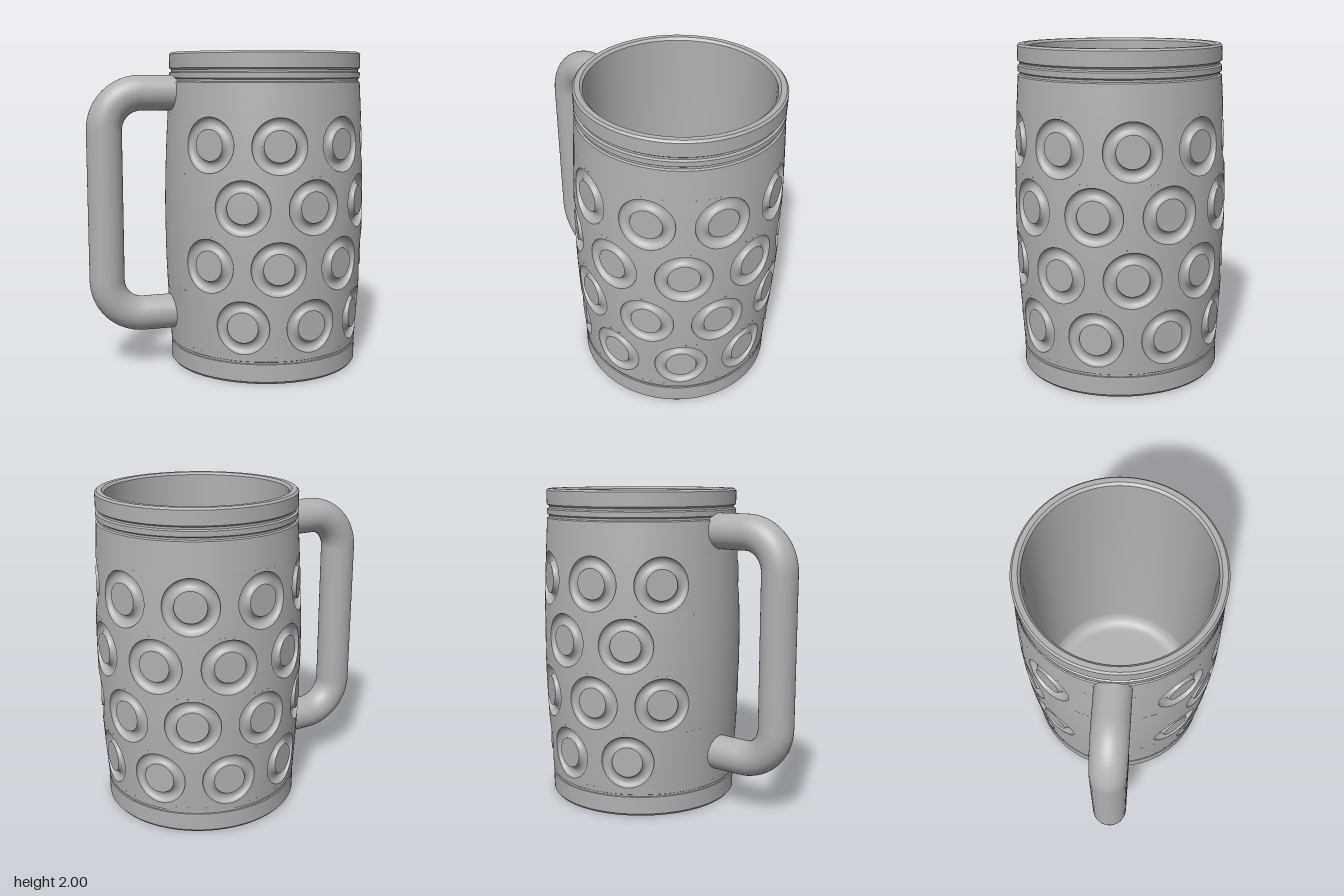
import * as THREE from 'three';
import { toCreasedNormals } from 'three/addons/utils/BufferGeometryUtils.js';

const CX = 0.25;                       // mug axis
const DISC = 0.095, OUTER = 0.167, DEPTH = 0.035;
const HALF = Math.PI / 9, CELL_H = 0.1825;
const SEG = 48;

// Barrel radius at a height
const barrel = (y) => 0.61 + 0.034 * Math.sin(Math.PI * (y - 0.14) / 1.68);

const lathe = (pts) => toCreasedNormals(
  new THREE.LatheGeometry(pts.map(([x, y]) => new THREE.Vector2(x, y)), 108), 0.5);

// Point on the barrel; u and v are offsets from the cell centre
function onBarrel(theta, y0, u, v) {
  const r = barrel(y0 + v), a = theta + u / 0.63;
  return new THREE.Vector3(r * Math.cos(a), y0 + v, -r * Math.sin(a));
}

// Point on the flat disc in the middle of a dimple
function onDisc(theta, y0, u, v) {
  const r = barrel(y0) - 0.006, c = Math.cos(theta), s = Math.sin(theta);
  return new THREE.Vector3(r * c - u * s, y0 + v, -r * s - u * c);
}

// One rectangular wall cell made of rings: disc, round groove, surrounding wall
function addCell(pos, idx, theta, y0, dimpled) {
  const base = pos.length / 3;
  const normal = new THREE.Vector3(Math.cos(theta), 0, -Math.sin(theta));
  const ring = (fn) => {
    for (let k = 0; k < SEG; k++) {
      const a = k / SEG * Math.PI * 2;
      pos.push(...fn(Math.cos(a), Math.sin(a)).toArray());
    }
  };
  const flat = dimpled ? onDisc : onBarrel;
  let rings = 0;
  for (const s of [0, DISC * 0.5]) {
    ring((c, n) => flat(theta, y0, c * s, n * s));
    rings++;
  }
  for (let i = 0; i <= 9; i++) {
    const a = i / 9 * Math.PI, t = (1 - Math.cos(a)) / 2;
    const s = DISC + (OUTER - DISC) * t;
    const d = dimpled ? DEPTH * Math.sin(a) : 0;
    ring((c, n) => flat(theta, y0, c * s, n * s)
      .lerp(onBarrel(theta, y0, c * s, n * s), t).addScaledVector(normal, -d));
    rings++;
  }
  for (const t of [0.5, 1]) {
    ring((c, n) => {
      const m = Math.max(Math.abs(c), Math.abs(n));
      const u = THREE.MathUtils.lerp(c * OUTER, c / m * HALF * 0.63, t);
      const v = THREE.MathUtils.lerp(n * OUTER, n / m * CELL_H, t);
      return onBarrel(theta, y0, u, v);
    });
    rings++;
  }
  for (let i = 0; i < rings - 1; i++) {
    for (let k = 0; k < SEG; k++) {
      const k2 = (k + 1) % SEG;
      const a = base + i * SEG + k, b = base + i * SEG + k2;
      const c = a + SEG, d = b + SEG;
      idx.push(a, c, d);
      if (i > 0) idx.push(a, d, b);
    }
  }
}

export function createModel() {
  const group = new THREE.Group();
  const grey = new THREE.MeshStandardMaterial({ color: 0xb0b0b0 });
  grey.name = 'grey';
  const add = (name, geometry, parent = group) => {
    const mesh = new THREE.Mesh(geometry, grey);
    mesh.name = name;
    parent.add(mesh);
    return mesh;
  };

  // Dimpled wall: four staggered rows, left plain behind the handle
  const pos = [], idx = [];
  for (let row = 0; row < 4; row++) {
    const y0 = 0.3525 + row * CELL_H * 2, shifted = row % 2 === 1;
    for (let i = -4; i <= 4; i++) {
      const theta = (i * 2 + (shifted ? 1 : 0)) * HALF;
      addCell(pos, idx, theta, y0, shifted ? i < 4 : Math.abs(i) < 4);
    }
  }
  const wall = new THREE.BufferGeometry();
  wall.setAttribute('position', new THREE.Float32BufferAttribute(pos, 3));
  wall.setIndex(idx);
  add('dimpledWall', toCreasedNormals(wall, 0.6)).position.x = CX;

  // Base band with a thin groove above it
  add('base', lathe([
    [0, 0], [0.598, 0], [0.61, 0.015], [0.61, 0.125], [0.603, 0.127],
    [0.603, 0.138], [0.61, 0.142], [barrel(0.17), 0.17],
  ])).position.x = CX;

  // Shoulder, grooved bands, rim and hollow inside
  const shoulder = [];
  for (let i = 0; i <= 6; i++) {
    const y = 1.63 + i * 0.031;
    shoulder.push([barrel(y), y]);
  }
  const fillet = [];
  for (let i = 0; i <= 8; i++) {
    const a = i / 8 * Math.PI / 2;
    fillet.push([0.44 + 0.1 * Math.cos(a), 0.23 - 0.1 * Math.sin(a)]);
  }
  add('rimAndInside', lathe([
    ...shoulder,
    [0.599, 1.822], [0.599, 1.834], [0.61, 1.842], [0.61, 1.873],
    [0.597, 1.88], [0.597, 1.892], [0.61, 1.902], [0.61, 1.988], [0.598, 2],
    [0.567, 2], [0.552, 1.985], [0.552, 1.69],
    ...fillet, [0, 0.13],
  ])).position.x = CX;

  // Handle: two arms, two bends and an upright grip
  const handle = new THREE.Group();
  handle.name = 'handle';
  group.add(handle);
  const R = 0.11, BEND = 0.23, X = -0.79, TOP = 1.75, BOTTOM = 0.345, END = -0.32;
  const armLength = END - (X + BEND);
  for (const [name, y, dir] of [['upper', TOP, 1], ['lower', BOTTOM, -1]]) {
    const arm = add(name + 'Arm', new THREE.CylinderGeometry(R, R, armLength, 40), handle);
    arm.rotation.z = Math.PI / 2;
    arm.position.set(X + BEND + armLength / 2, y, 0);
    const bend = add(name + 'Bend', new THREE.TorusGeometry(BEND, R, 40, 20, Math.PI / 2), handle);
    bend.rotation.z = dir > 0 ? Math.PI / 2 : Math.PI;
    bend.position.set(X + BEND, y - dir * BEND, 0);
  }
  const gripLength = TOP - BOTTOM - 2 * BEND;
  add('grip', new THREE.CylinderGeometry(R, R, gripLength, 40, 1, true), handle)
    .position.set(X, (TOP + BOTTOM) / 2, 0);

  return group;
}
